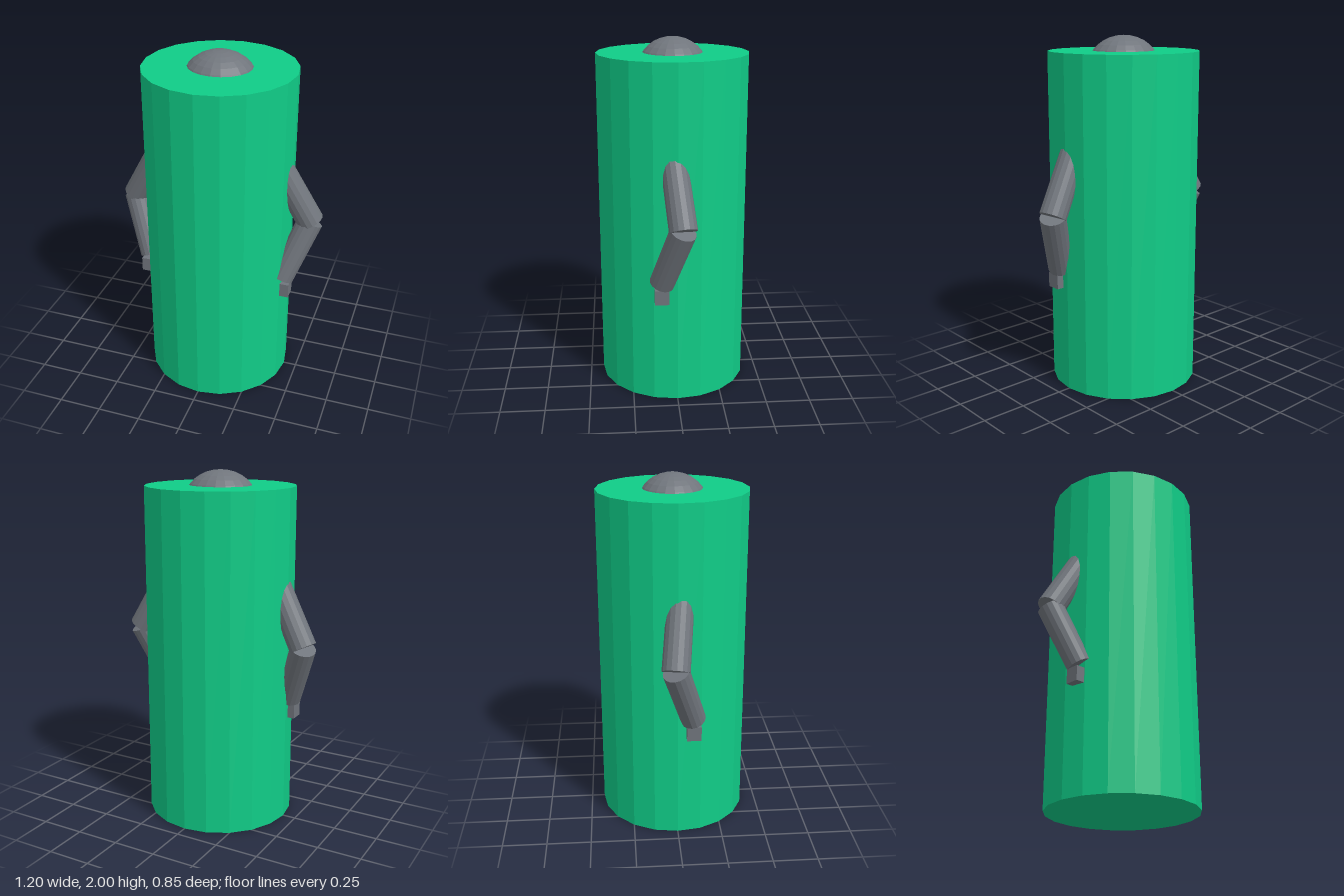
import * as THREE from 'three';

const green = new THREE.MeshStandardMaterial({ color: 0x10cc87, flatShading: true });
green.name = 'green';
const grey = new THREE.MeshStandardMaterial({ color: 0x70757c, flatShading: true });
grey.name = 'grey';

function part(name, geometry, material, parent) {
  const mesh = new THREE.Mesh(geometry, material);
  mesh.name = name;
  parent.add(mesh);
  return mesh;
}

// Tapered limb running from one joint to the next
function limb(name, from, to, rFrom, rTo, parent) {
  const dir = to.clone().sub(from);
  const mesh = part(name, new THREE.CylinderGeometry(rTo, rFrom, dir.length(), 16), grey, parent);
  mesh.position.copy(from).addScaledVector(dir, 0.5);
  mesh.quaternion.setFromUnitVectors(new THREE.Vector3(0, 1, 0), dir.normalize());
}

export function createModel() {
  const model = new THREE.Group();
  model.name = 'figure';

  // Twenty-sided barrel body
  const height = 1.915;
  part('body', new THREE.CylinderGeometry(0.425, 0.425, height, 20), green, model).position.y = height / 2;

  // Head, mostly sunk into the body
  const head = part('head', new THREE.SphereGeometry(1, 20, 16), grey, model);
  head.scale.set(0.21, 0.175, 0.195);
  head.position.y = 1.825;

  // Bent arms with block hands
  for (const [side, s] of [['left', 1], ['right', -1]]) {
    const arm = new THREE.Group();
    arm.name = side + 'Arm';
    const shoulder = new THREE.Vector3(s * 0.316, 1.446, 0.025);
    const elbow = new THREE.Vector3(s * 0.532, 1.05, -0.02);
    const wrist = new THREE.Vector3(s * 0.404, 0.71, 0.087);
    limb('upperArm', shoulder, elbow, 0.073, 0.077, arm);
    limb('forearm', elbow, wrist, 0.073, 0.07, arm);
    part('hand', new THREE.BoxGeometry(0.084, 0.084, 0.08), grey, arm).position.set(s * 0.415, 0.643, 0.088);
    model.add(arm);
  }
  return model;
}
